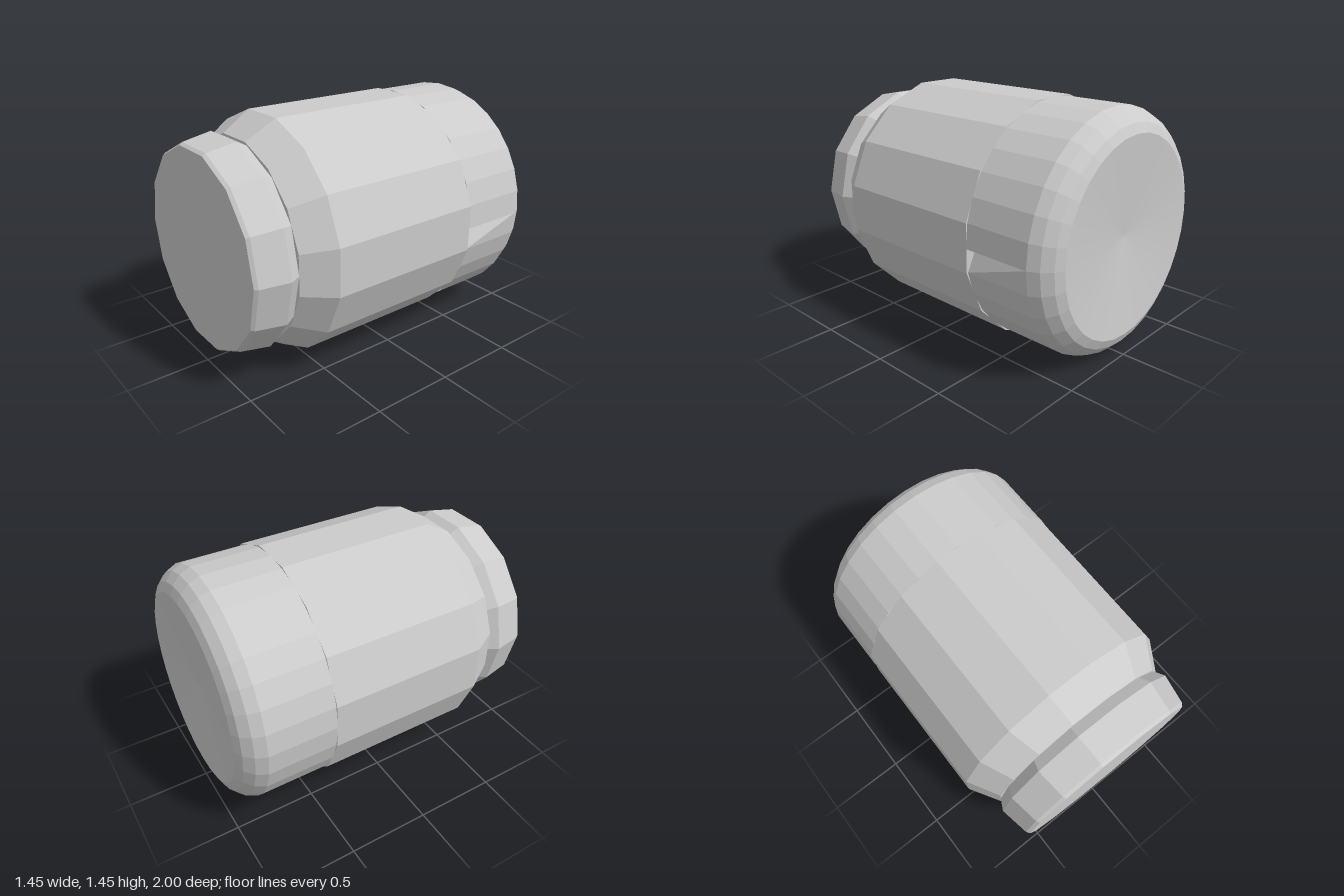
import * as THREE from 'three';

const material = new THREE.MeshStandardMaterial({ color: 0xcccccc, flatShading: true, side: THREE.DoubleSide });
const CENTRE_Y = 0.72;

// Faceted solid of revolution about z; profile is [radius, z] from back to front
function turned(profile, sides, halfStep) {
  const points = profile.map(([r, z]) => new THREE.Vector2(r, z));
  const start = halfStep ? Math.PI / sides : 0;
  const geometry = new THREE.LatheGeometry(points, sides, start).rotateX(Math.PI / 2);
  return geometry.toNonIndexed();
}

function part(name, geometry) {
  geometry.computeVertexNormals();
  const mesh = new THREE.Mesh(geometry, material);
  mesh.name = name;
  mesh.position.y = CENTRE_Y;
  return mesh;
}

export function createModel() {
  const model = new THREE.Group();
  model.name = 'jar';

  // Straight wall with a sloping shoulder; flats at top, bottom and sides
  model.add(part('body', turned(
    [[0.6, -0.44], [0.734, -0.44], [0.734, 0.55], [0.622, 0.735], [0.5, 0.735]], 16, true)));

  // Rounded base with a shallow hollow in the middle
  const baseProfile = [[0, -0.95], [0.59, -1], [0.645, -0.975], [0.695, -0.925], [0.724, -0.86], [0.724, -0.44]];
  const sides = 32;
  const base = turned(baseProfile, sides, false);

  // Notch on the +x side: sink one corner of one wall triangle
  const strips = baseProfile.length - 1;
  const corner = ((sides / 4 - 1) * strips + strips - 1) * 6 + 3;
  base.attributes.position.setX(corner, 0.64);
  model.add(part('base', base));

  // Upper wall of the notch
  const notch = new THREE.BufferGeometry().setFromPoints([
    new THREE.Vector3(0.724, 0, -0.44),
    new THREE.Vector3(0.64, 0, -0.44),
    new THREE.Vector3(0.724, 0, -0.86),
  ]);
  model.add(part('notchWall', notch));

  // Lid, widest near its back rim, with a flat front
  model.add(part('lid', turned(
    [[0.5, 0.73], [0.61, 0.735], [0.645, 0.8], [0.612, 0.98], [0.598, 1], [0, 1]], 14, true)));

  return model;
}
